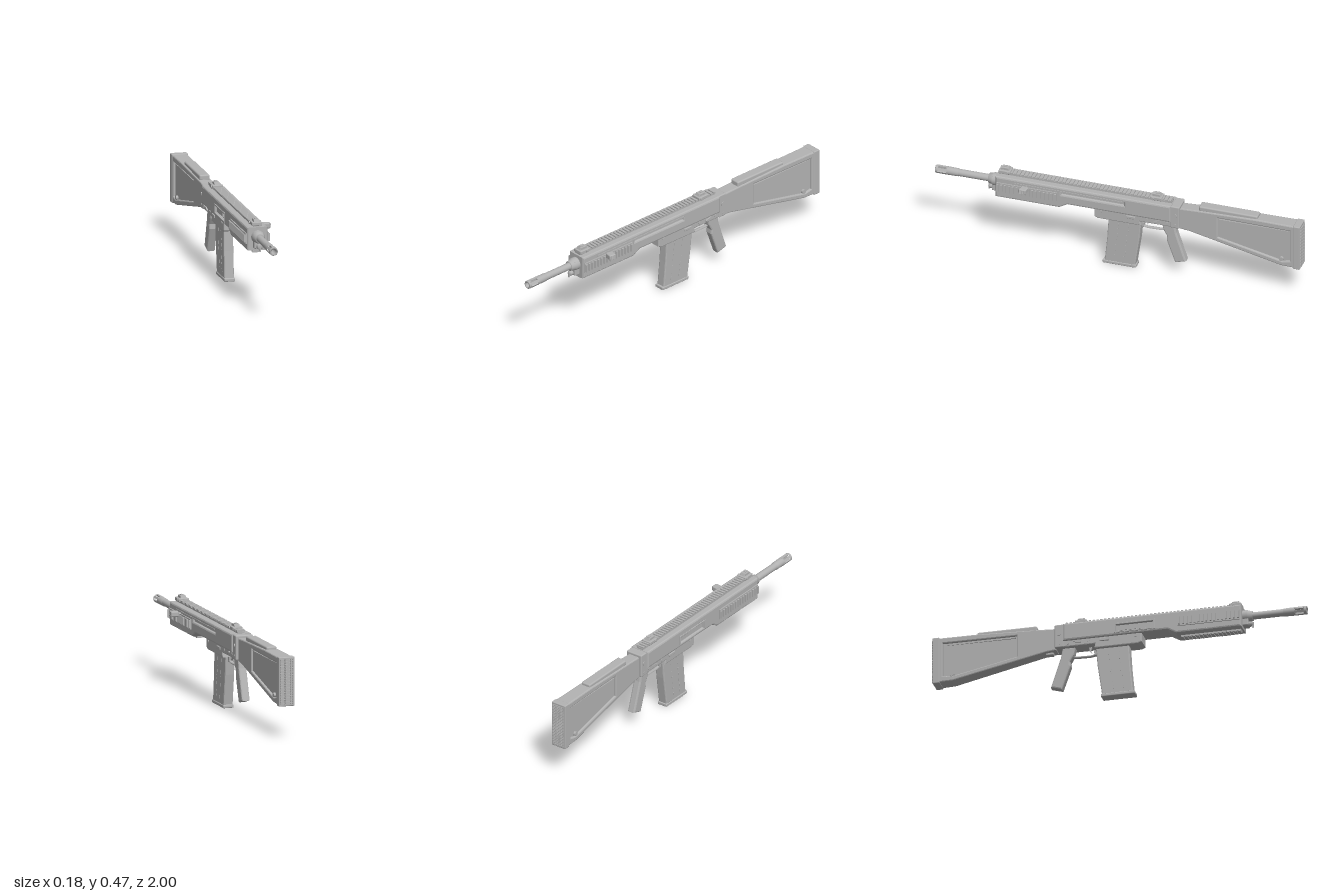
import * as THREE from 'three';
import { mergeGeometries } from 'three/addons/utils/BufferGeometryUtils.js';
import { RoundedBoxGeometry } from 'three/addons/geometries/RoundedBoxGeometry.js';

export function createModel() {
  const model = new THREE.Group();
  model.name = 'longGun';
  model.position.x = -0.02; // the side handle sticks out, so the body sits off centre
  const gray = new THREE.MeshStandardMaterial({ color: 0xb3b3b3 });
  gray.name = 'plainGray';

  const add = (name, geo) => {
    const m = new THREE.Mesh(geo, gray);
    m.name = name;
    model.add(m);
    return m;
  };
  const boxGeo = (w, h, d, x, y, z) => new THREE.BoxGeometry(w, h, d).translate(x, y, z);
  const box = (name, w, h, d, x, y, z) => add(name, boxGeo(w, h, d, x, y, z));
  const rbox = (name, w, h, d, x, y, z, r = 0.006) =>
    add(name, new RoundedBoxGeometry(w, h, d, 2, r).translate(x, y, z));
  // round part along z, profile given as [radius, z]
  const turned = (name, pts, y, seg = 28) => {
    const g = new THREE.LatheGeometry(pts.map(p => new THREE.Vector2(p[0], p[1])), seg);
    return add(name, g.toNonIndexed().rotateX(Math.PI / 2).translate(0, y, 0));
  };
  // pin or bolt along x
  const pin = (name, r, len, x, y, z, seg = 16) =>
    add(name, new THREE.CylinderGeometry(r, r, len, seg).rotateZ(Math.PI / 2).translate(x, y, z));
  // side profile in [z, y], extruded across x, optional holes
  const toPts = a => a.map(p => new THREE.Vector2(p[0], p[1]));
  const sideGeo = (pts, width, x = 0, bevel = 0.006, holes = []) => {
    const s = new THREE.Shape(toPts(pts));
    holes.forEach(h => s.holes.push(new THREE.Path(toPts(h))));
    return new THREE.ExtrudeGeometry(s, {
      depth: width - 2 * bevel, bevelEnabled: bevel > 0, bevelThickness: bevel,
      bevelSize: bevel, bevelOffset: -bevel, bevelSegments: 2,
    }).translate(0, 0, -width / 2 + bevel).rotateY(-Math.PI / 2).translate(x, 0, 0);
  };
  const side = (name, ...args) => add(name, sideGeo(...args));
  const rect = (z0, z1, y0, y1) => [[z0, y0], [z1, y0], [z1, y1], [z0, y1]];

  // Barrel and slotted muzzle
  turned('barrel', [[0.019, 0.64], [0.019, 0.88], [0.016, 0.885], [0.016, 0.9]], 0.38);
  turned('muzzleDevice', [[0.015, 0.872], [0.021, 0.876], [0.022, 0.93], [0.0215, 0.94]], 0.38);
  turned('muzzleTip', [[0.0215, 0.985], [0.022, 0.988], [0.022, 0.998], [0.02, 1], [0.014, 1], [0.013, 0.93], [0.002, 0.93]], 0.38);
  const prongs = [];
  for (let i = 0; i < 6; i++) {
    prongs.push(boxGeo(0.013, 0.007, 0.055, 0, 0.018, 0.962).rotateZ(i * Math.PI / 3).translate(0, 0.38, 0));
  }
  add('muzzleProngs', mergeGeometries(prongs));
  turned('barrelCollar', [[0.034, 0.65], [0.034, 0.685], [0.03, 0.69], [0.026, 0.71], [0.019, 0.71]], 0.38);
  rbox('gasBlock', 0.05, 0.085, 0.04, 0, 0.364, 0.67);
  turned('gasPlug', [[0.014, 0.66], [0.014, 0.705], [0.01, 0.71], [0, 0.71]], 0.335, 12);
  box('plugLever', 0.007, 0.03, 0.008, 0, 0.33, 0.71);

  // Receiver and handguard: two half shells around a core
  const body = [[0.66, 0.307], [0.66, 0.43], [-0.295, 0.43], [-0.295, 0.333], [0.265, 0.333], [0.31, 0.307]];
  const vents = [0.375, 0.475, 0.575].map(z => rect(z, z + 0.06, 0.324, 0.336));
  const port = rect(-0.01, 0.19, 0.352, 0.39);
  const slot = rect(-0.04, 0.3, 0.388, 0.402);
  side('leftShell', body, 0.055, 0.0275, 0.009, [...vents, slot]);
  side('rightShell', body, 0.055, -0.0275, 0.009, [...vents, port]);
  side('bodyCore', body, 0.084, 0, 0.002);
  box('boltCover', 0.006, 0.022, 0.12, -0.045, 0.369, 0.06);
  side('portFrame', rect(-0.02, 0.2, 0.344, 0.398), 0.006, -0.056, 0.001, [port]);
  box('slotLip', 0.008, 0.006, 0.6, 0.054, 0.408, 0.26);

  // Handguard side rails, bottom rail and top rail with teeth
  for (const s of [-1, 1]) {
    const ribs = [boxGeo(0.008, 0.055, 0.33, s * 0.057, 0.37, 0.487)];
    for (let i = 0; i < 16; i++) ribs.push(boxGeo(0.01, 0.042, 0.01, s * 0.064, 0.37, 0.33 + i * 0.021));
    add(s > 0 ? 'leftRail' : 'rightRail', mergeGeometries(ribs));
  }
  const under = [boxGeo(0.032, 0.01, 0.32, 0, 0.304, 0.49)];
  for (let i = 0; i < 16; i++) under.push(boxGeo(0.042, 0.009, 0.011, 0, 0.2975, 0.338 + i * 0.0203));
  add('bottomRail', mergeGeometries(under));
  const top = [boxGeo(0.038, 0.012, 0.94, 0, 0.434, 0.18)];
  for (let i = 0; i < 46; i++) top.push(boxGeo(0.046, 0.009, 0.011, 0, 0.4425, -0.282 + i * 0.0206));
  add('topRail', mergeGeometries(top));

  // Folded sights
  for (const [name, z, d] of [['frontSight', 0.62, 1], ['rearSight', -0.205, -1]]) {
    rbox(name + 'Base', 0.054, 0.02, 0.064, 0, 0.444, z, 0.004);
    side(name + 'Leaf', [[z - 0.025, 0.452], [z + 0.025, 0.452], [z + 0.018, 0.467], [z - 0.018, 0.467]], 0.03, 0, 0.002);
    box(name + 'Post', 0.014, 0.006, 0.02, 0, 0.467, z + d * 0.006);
    pin(name + 'Screw', 0.008, 0.064, 0, 0.444, z - d * 0.016, 10);
  }

  // Charging handle on the left
  pin('handleStem', 0.008, 0.04, 0.07, 0.395, 0.49);
  add('handleKnob', new RoundedBoxGeometry(0.042, 0.028, 0.04, 2, 0.006).rotateY(-0.15).translate(0.086, 0.396, 0.495));
  const knurl = [];
  for (let i = 0; i < 4; i++) knurl.push(boxGeo(0.003, 0.004, 0.03, 0.1075, 0.387 + i * 0.006, 0.497));
  add('handleGrooves', mergeGeometries(knurl));

  // Lower receiver with magazine well
  side('lowerReceiver', [[0.125, 0.34], [-0.335, 0.34], [-0.335, 0.3], [-0.125, 0.3], [-0.13, 0.276], [0.105, 0.276], [0.125, 0.285]], 0.088, 0, 0.006);
  for (const z of [0.09, -0.16, -0.27]) pin('receiverPin', 0.008, 0.094, 0, 0.32, z);
  for (const s of [-1, 1]) {
    rbox('boltCatch', 0.008, 0.016, 0.05, s * 0.046, 0.318, -0.075, 0.003);
    add('selector', new THREE.BoxGeometry(0.008, 0.009, 0.04).rotateX(0.3).translate(s * 0.047, 0.321, -0.22));
  }
  side('magazineRelease', [[-0.115, 0.28], [-0.14, 0.28], [-0.135, 0.25], [-0.125, 0.25]], 0.025, 0, 0.002);

  // Magazine with rows of dashes
  side('magazine', [[0.052, 0.29], [-0.126, 0.29], [-0.116, 0.18], [-0.092, 0.012], [0.074, 0.012], [0.06, 0.16]], 0.052, 0, 0.006);
  rbox('magazineBase', 0.058, 0.018, 0.182, 0, 0.009, -0.007, 0.005);
  const dashes = [];
  for (const s of [-1, 1]) for (const row of [0, 1]) for (let i = 0; i < 7; i++) {
    const y = 0.05 + i * 0.033;
    dashes.push(new THREE.BoxGeometry(0.003, 0.018, 0.006).rotateX(-0.12)
      .translate(s * 0.026, y, (row ? -0.033 : 0.022) - (y - 0.05) * 0.12));
  }
  add('magazineDashes', mergeGeometries(dashes));

  // Trigger, guard and pistol grip
  const guardPath = new THREE.CatmullRomCurve3(
    [[0.3, -0.125], [0.262, -0.127], [0.251, -0.145], [0.25, -0.2], [0.252, -0.24], [0.262, -0.262]].map(p => new THREE.Vector3(0, p[0], p[1])));
  add('triggerGuard', new THREE.TubeGeometry(guardPath, 24, 0.005, 6).scale(2.4, 1, 1));
  side('trigger', [[-0.148, 0.305], [-0.166, 0.305], [-0.164, 0.28], [-0.15, 0.262], [-0.156, 0.28]], 0.01, 0, 0);
  side('grip', [[-0.235, 0.305], [-0.305, 0.305], [-0.315, 0.25], [-0.368, 0.088], [-0.308, 0.07], [-0.262, 0.2], [-0.264, 0.225], [-0.244, 0.26]], 0.044, 0, 0.008);

  // Rear block and hinge
  rbox('rearBlock', 0.096, 0.13, 0.05, 0, 0.364, -0.316);
  pin('rearPin', 0.011, 0.104, 0, 0.375, -0.318);
  pin('rearLowerPin', 0.006, 0.102, 0, 0.32, -0.318, 10);

  // Stock, widening to the rear, with sunken side panels
  const widen = geo => {
    const p = geo.attributes.position;
    for (let i = 0; i < p.count; i++) p.setX(i, p.getX(i) * (1 - 0.4 * (p.getZ(i) + 0.34)));
    geo.computeVertexNormals();
    return geo;
  };
  const stock = [[-0.335, 0.415], [-0.44, 0.42], [-0.76, 0.43], [-0.965, 0.43], [-0.965, 0.178], [-0.89, 0.18], [-0.39, 0.287], [-0.335, 0.293]];
  const panel = [[-0.545, 0.398], [-0.94, 0.398], [-0.94, 0.215], [-0.9, 0.206], [-0.545, 0.28]];
  add('stock', widen(sideGeo(stock, 0.066, 0, 0.006, [panel])));
  add('stockPanel', widen(sideGeo(panel.map(([z, y]) => [z * 1.01 + 0.0075, y * 1.08 - 0.024]), 0.046, 0, 0)));
  side('panelRib', [[-0.552, 0.39], [-0.93, 0.39], [-0.93, 0.386], [-0.556, 0.386]], 0.062, 0, 0);
  pin('slingStud', 0.012, 0.08, 0, 0.218, -0.892);
  rbox('cheekRest', 0.056, 0.03, 0.32, 0, 0.43, -0.6, 0.008);
  rbox('stockLatch', 0.03, 0.02, 0.04, 0, 0.287, -0.375, 0.004);

  // Butt pad with a checkered back
  rbox('buttPad', 0.088, 0.26, 0.038, 0, 0.303, -0.976, 0.005);
  const checks = [];
  for (let i = 0; i < 8; i++) for (let j = 0; j < 26; j++) {
    checks.push(boxGeo(0.006, 0.006, 0.006, -0.0315 + i * 0.009, 0.188 + j * 0.0092, -0.997));
  }
  add('buttPadChecks', mergeGeometries(checks));
  return model;
}
